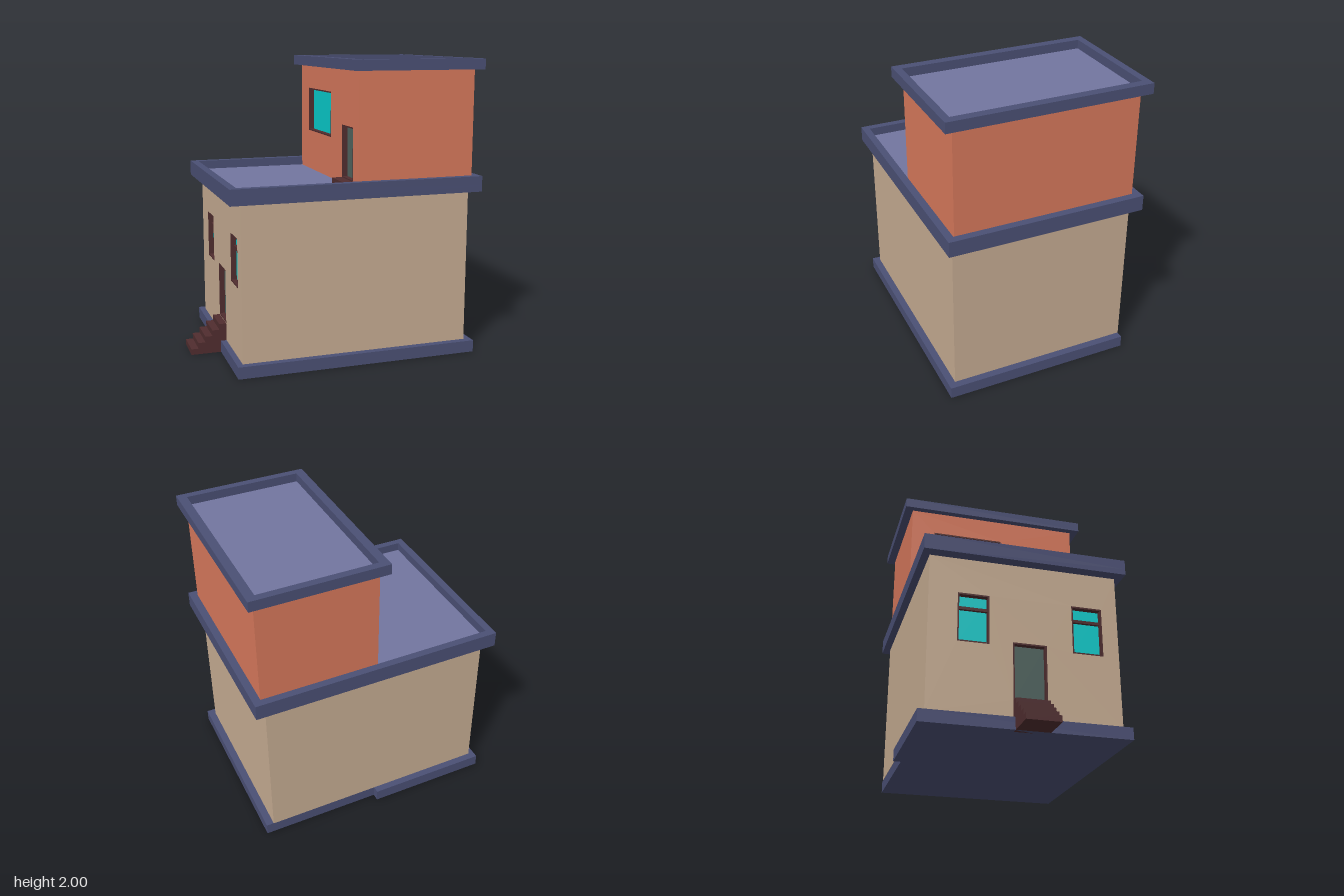
import * as THREE from 'three';

const paint = (color) => new THREE.MeshStandardMaterial({ color });
const mats = {
  trim: paint(0x4b5075),
  roof: paint(0x7376a0),
  lowerWall: paint(0xc7ad93),
  upperWall: paint(0xd8795c),
  wood: paint(0x502d2f),
  glass: paint(0x08cccc),
  door: paint(0x50645f),
};

function add(parent, name, geometry, material) {
  const mesh = new THREE.Mesh(geometry, material);
  mesh.name = name;
  parent.add(mesh);
  return mesh;
}

// Box given by its extents on each axis
function block(parent, name, [x0, x1], [y0, y1], [z0, z1], material) {
  const geo = new THREE.BoxGeometry(x1 - x0, y1 - y0, z1 - z0);
  geo.translate((x0 + x1) / 2, (y0 + y1) / 2, (z0 + z1) / 2);
  return add(parent, name, geo, material);
}

function rectPoints(a0, a1, b0, b1) {
  return [[a0, b0], [a1, b0], [a1, b1], [a0, b1]].map(([a, b]) => new THREE.Vector2(a, b));
}

// Upright panel in the zy plane with rectangular holes, thickened towards +x
function panel(parent, name, x, depth, rect, holes, material) {
  const toPoints = ({ z, y }) => rectPoints(-z[1], -z[0], y[0], y[1]);
  const shape = new THREE.Shape(toPoints(rect));
  holes.forEach((h) => shape.holes.push(new THREE.Path(toPoints(h))));
  const geo = new THREE.ExtrudeGeometry(shape, { depth, bevelEnabled: false });
  geo.rotateY(Math.PI / 2).translate(x, 0, 0);
  return add(parent, name, geo, material);
}

// Flat outline in the xz plane raised from y0 to y1
function raised(parent, name, shape, y0, y1, material) {
  const geo = new THREE.ExtrudeGeometry(shape, { depth: y1 - y0, bevelEnabled: false });
  geo.rotateX(-Math.PI / 2).translate(0, y0, 0);
  return add(parent, name, geo, material);
}

// Storey: solid body with a facade panel on the -x side and recessed openings
function storey(name, x, y, z, material, openings) {
  const group = new THREE.Group();
  group.name = name;
  const thick = 0.06;
  block(group, name + 'Body', [x[0] + thick, x[1]], y, z, material);
  panel(group, name + 'Facade', x[0], thick, { y, z }, openings, material);
  for (const o of openings) {
    const t = 0.01;
    const inner = { z: [o.z[0] + t, o.z[1] - t], y: [o.y[0] + t, o.y[1] - t] };
    panel(group, o.kind + 'Frame', x[0] + 0.002, 0.05, o, [inner], mats.wood);
    block(group, o.kind + 'Pane', [x[0] + 0.038, x[0] + 0.05], inner.y, inner.z,
      o.kind === 'door' ? mats.door : mats.glass);
    if (o.bar) {
      block(group, 'windowBar', [x[0] + 0.02, x[0] + 0.04], [o.bar - 0.01, o.bar + 0.01], inner.z, mats.wood);
    }
  }
  return group;
}

// Flat roof: overhanging slab, raised parapet and a sunken floor
function flatRoof(name, x, y, z, rim, depth) {
  const group = new THREE.Group();
  group.name = name;
  const floorY = y[1] - depth;
  const inX = [x[0] + rim, x[1] - rim];
  const inZ = [z[0] + 0.05, z[1] - 0.05];
  block(group, name + 'Slab', x, [y[0], floorY - 0.004], z, mats.trim);
  const ring = new THREE.Shape(rectPoints(x[0], x[1], -z[1], -z[0]));
  ring.holes.push(new THREE.Path(rectPoints(inX[0], inX[1], -inZ[1], -inZ[0])));
  raised(group, name + 'Parapet', ring, floorY - 0.004, y[1], mats.trim);
  block(group, name + 'Floor', inX, [floorY - 0.004, floorY], inZ, mats.roof);
  return group;
}

export function createModel() {
  const house = new THREE.Group();
  house.name = 'house';

  // Plinth, narrower at the back on the +x half
  const outline = [[-0.74, -0.67], [0.915, -0.67], [0.915, 0.62], [0.09, 0.62], [0.09, 0.67], [-0.74, 0.67]];
  const plinth = new THREE.Shape(outline.map(([a, b]) => new THREE.Vector2(a, b)));
  raised(house, 'plinth', plinth, 0, 0.08, mats.trim);

  // Ground floor with a door between two windows
  house.add(storey('groundFloor', [-0.7, 0.865], [0.08, 1.12], [-0.622, 0.622], mats.lowerWall, [
    { kind: 'window', z: [-0.435, -0.23], y: [0.55, 0.88], bar: 0.785 },
    { kind: 'window', z: [0.312, 0.517], y: [0.55, 0.88], bar: 0.785 },
    { kind: 'door', z: [-0.08, 0.14], y: [0.2, 0.58] },
  ]));
  house.add(flatRoof('terrace', [-0.777, 0.942], [1.12, 1.225], [-0.672, 0.672], 0.052, 0.06));

  // Upper floor with a wide window and a terrace door
  house.add(storey('upperFloor', [0.083, 0.89], [1.165, 1.93], [-0.617, 0.617], mats.upperWall, [
    { kind: 'window', z: [-0.45, 0.062], y: [1.45, 1.765] },
    { kind: 'door', z: [0.287, 0.505], y: [1.2, 1.56] },
  ]));
  house.add(flatRoof('topRoof', [0.037, 0.937], [1.93, 2], [-0.675, 0.675], 0.06, 0.06));
  block(house, 'terraceDoorstep', [0.015, 0.083], [1.165, 1.203], [0.287, 0.505], mats.wood);

  // Entrance stairs
  const stairs = new THREE.Group();
  stairs.name = 'entranceStairs';
  const steps = 5, run = 0.049, rise = 0.04;
  for (let i = 0; i < steps; i++) {
    const x = -0.945 + i * run;
    block(stairs, 'step', [x, x + run], [0, (i + 1) * rise], [-0.08, 0.14], mats.wood);
  }
  house.add(stairs);

  return house;
}
